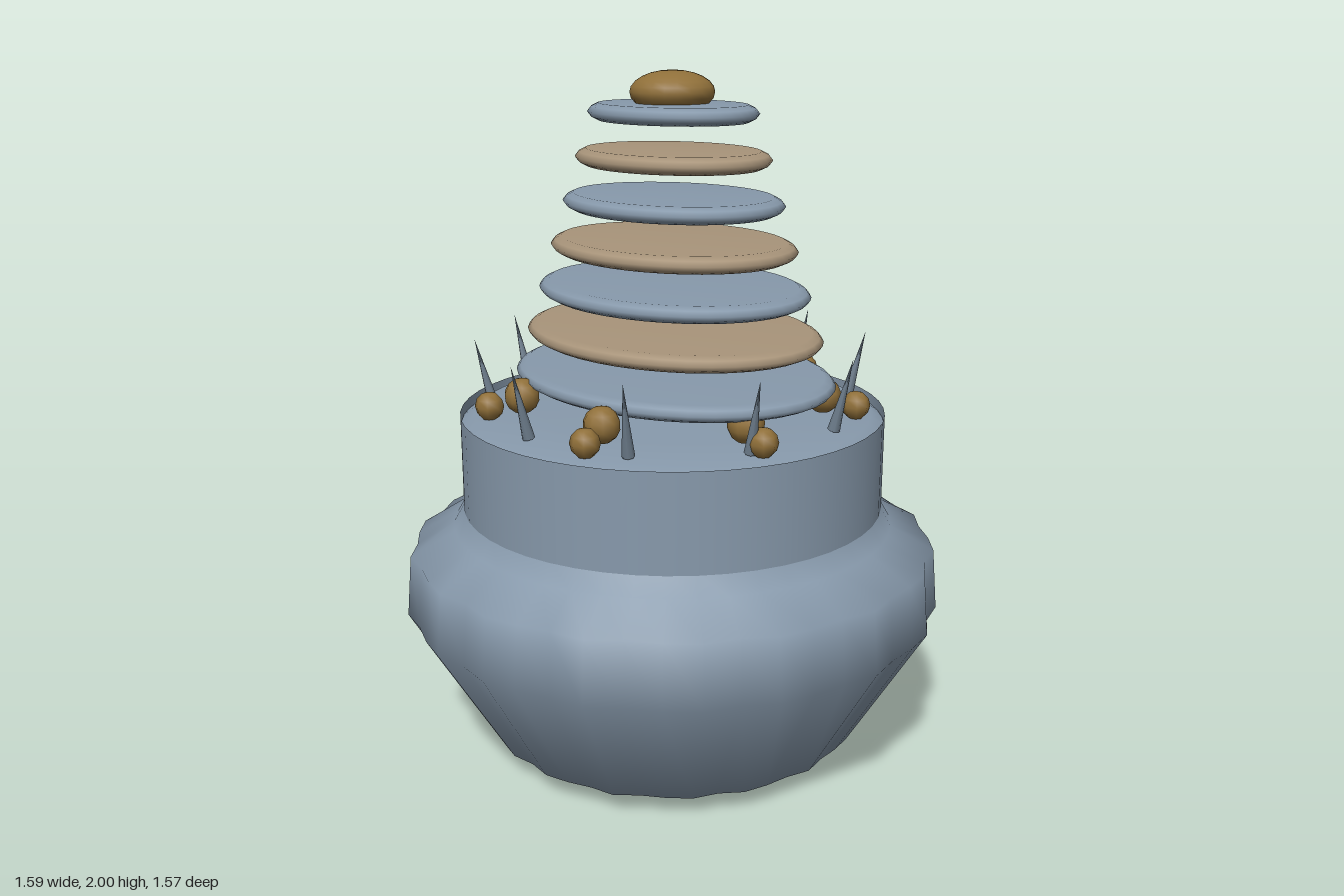
import * as THREE from 'three';
import { mergeVertices } from 'three/addons/utils/BufferGeometryUtils.js';

const mat = (name, color, side = THREE.FrontSide) => {
  const m = new THREE.MeshStandardMaterial({ color, side });
  m.name = name;
  return m;
};

// Revolved profile, listed bottom to top as [radius, height]
const lathe = (points, segments) =>
  new THREE.LatheGeometry(points.map(([r, y]) => new THREE.Vector2(r, y)), segments);

// Bowl whose outline ripples with 18 shallow lobes
function bowlGeometry() {
  const geo = lathe([
    [0, 0.005], [0.56, 0.07], [0.785, 0.45], [0.77, 0.63], [0.65, 0.7], [0.615, 0.76],
  ], 48);
  const p = geo.attributes.position;
  for (let i = 0; i < p.count; i++) {
    const x = p.getX(i), z = p.getZ(i), y = p.getY(i);
    const amount = y > 0.65 || y < 0.05 ? 0 : 0.015;
    const s = 1 + amount * Math.cos(18 * Math.atan2(z, x));
    p.setX(i, x * s);
    p.setZ(i, z * s);
  }
  geo.deleteAttribute('normal');
  geo.deleteAttribute('uv');
  const smooth = mergeVertices(geo, 1e-4);
  smooth.computeVertexNormals();
  return smooth;
}

export function createModel() {
  const model = new THREE.Group();
  model.name = 'tieredTower';
  const steel = mat('blueSteel', 0x8799ab);
  const steelOpen = mat('blueSteelOpen', 0x8799ab, THREE.DoubleSide);
  const tan = mat('warmTan', 0xa8947a);
  const bronze = mat('bronze', 0x90703a);
  const spikeGrey = mat('spikeGrey', 0x6f7f8e);

  const add = (name, geo, material, x = 0, y = 0, z = 0) => {
    const mesh = new THREE.Mesh(geo, material);
    mesh.name = name;
    mesh.position.set(x, y, z);
    model.add(mesh);
    return mesh;
  };

  // Hull, neck and the shallow domed deck inside the rim
  add('bowl', bowlGeometry(), steel);
  add('neck', new THREE.CylinderGeometry(0.62, 0.62, 0.315, 48, 1, true), steelOpen, 0, 0.8775, 0);
  add('deck', lathe([[0.618, 1.005], [0.58, 1.03], [0.4, 1.045], [0, 1.055]], 48), steel);

  // Floating oval plates, alternating in colour and shrinking upwards
  for (let i = 0; i < 7; i++) {
    const t = i / 6;
    const rx = 0.52 - 0.25 * t, rz = 0.41 - 0.198 * t;
    const rim = 0.035 / rx;
    const plate = lathe([
      [0, -0.026], [1 - rim, -0.024], [1 - rim * 0.35, -0.014], [1, 0],
      [1 - rim * 0.35, 0.014], [1 - rim, 0.024], [0, 0.026],
    ], 40);
    plate.scale(rx, 1, rz);
    // Recompute smooth normals for the stretched shape
    plate.deleteAttribute('normal');
    plate.deleteAttribute('uv');
    const smooth = mergeVertices(plate, 1e-4);
    smooth.computeVertexNormals();
    add('plate' + (i + 1), smooth, i % 2 ? tan : steel, 0, 1.135 + 0.125 * i, 0);
  }

  // Domed knob on the top plate
  const knob = add('knob', new THREE.SphereGeometry(0.12, 20, 12), bronze, 0, 1.94, 0);
  knob.scale.y = 0.5;

  // Ring of outward-leaning spikes
  const up = new THREE.Vector3(0, 1, 0);
  for (let i = 0; i < 10; i++) {
    const a = THREE.MathUtils.degToRad(20 + 36 * i);
    const c = Math.cos(a), s = Math.sin(a);
    const spike = add('spike' + (i + 1), new THREE.ConeGeometry(0.018, 0.215, 8), spikeGrey,
      0.545 * c, 1.145, 0.545 * s);
    spike.quaternion.setFromUnitVectors(up, new THREE.Vector3(0.25 * c, 1, 0.25 * s).normalize());
  }

  // Seven pairs of beads around the deck
  for (let i = 0; i < 7; i++) {
    const a = THREE.MathUtils.degToRad(17) + (i * Math.PI * 2) / 7;
    const c = Math.cos(a), s = Math.sin(a);
    add('outerBead' + (i + 1), new THREE.SphereGeometry(0.042, 8, 6), bronze, 0.537 * c, 1.07, 0.537 * s);
    add('innerBead' + (i + 1), new THREE.SphereGeometry(0.052, 10, 7), bronze, 0.443 * c, 1.095, 0.443 * s);
  }
  return model;
}
